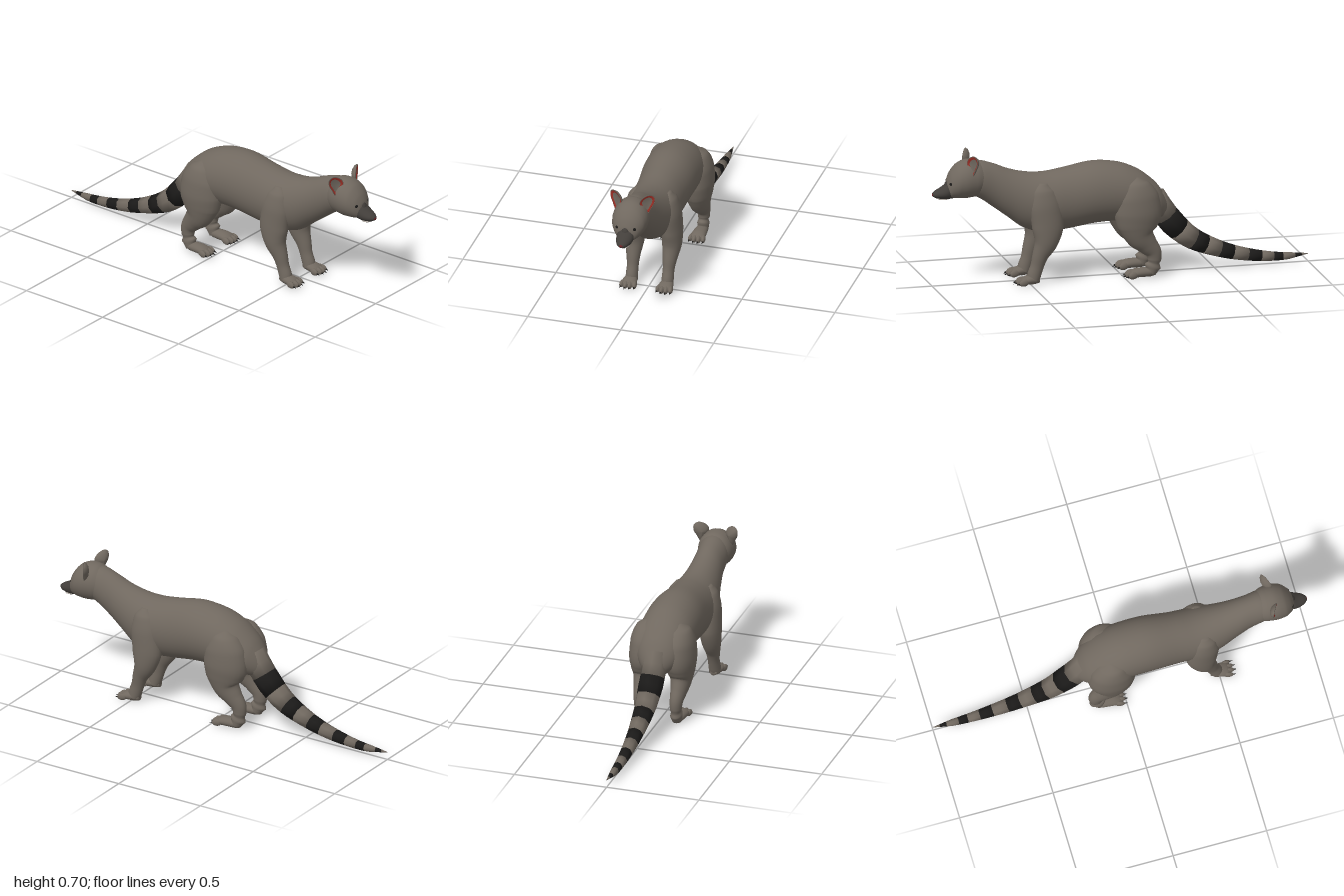
import * as THREE from 'three';

const mat = (color) => new THREE.MeshStandardMaterial({ color, roughness: 0.9 });
const V = (x, y, z) => new THREE.Vector3(x, y, z);

// Closed skin over a list of rings (each ring counter-clockwise about the travel direction)
function skin(rings) {
  const n = rings[0].length, pos = [], idx = [];
  const mid = (r) => r.reduce((a, p) => a.add(p), V(0, 0, 0)).divideScalar(n);
  rings.forEach((r) => r.forEach((p) => pos.push(p.x, p.y, p.z)));
  const last = rings.length - 1, c0 = rings.length * n, c1 = c0 + 1;
  for (const p of [mid(rings[0]), mid(rings[last])]) pos.push(p.x, p.y, p.z);
  for (let j = 0; j < n; j++) {
    const k = (j + 1) % n;
    for (let i = 0; i < last; i++) {
      const a = i * n + j, b = i * n + k;
      idx.push(a, b, a + n, b, b + n, a + n);
    }
    idx.push(c0, k, j, c1, last * n + j, last * n + k);
  }
  const g = new THREE.BufferGeometry();
  g.setAttribute('position', new THREE.Float32BufferAttribute(pos, 3));
  g.setIndex(idx);
  g.computeVertexNormals();
  return g;
}

// Elliptical loft through sections [x, y, z, halfWidth, halfDepth]; "upright" keeps rings facing z
function loft(sections, { sides = 24, steps = 5, upright = false } = {}) {
  const path = new THREE.CatmullRomCurve3(sections.map((s) => V(s[0], s[1], s[2])));
  const size = new THREE.CatmullRomCurve3(sections.map((s) => V(s[3], s[4], 0)));
  const rings = [], total = (sections.length - 1) * steps, X = V(1, 0, 0);
  for (let i = 0; i <= total; i++) {
    const p = path.getPoint(i / total), r = size.getPoint(i / total);
    const T = upright ? V(0, 0, 1) : path.getTangent(i / total);
    const N = T.clone().cross(X).normalize();
    rings.push(Array.from({ length: sides }, (_, j) => {
      const a = (j / sides) * Math.PI * 2;
      return p.clone().addScaledVector(X, Math.max(r.x, 0.001) * Math.cos(a))
        .addScaledVector(N, Math.max(r.y, 0.001) * Math.sin(a));
    }));
  }
  return skin(rings);
}

// Side profile rows [z, top, bottom, halfWidth] to loft sections
const profile = (rows) => rows.map(([z, t, b, w]) => [0, (t + b) / 2, z, w, (t - b) / 2]);

export function createModel() {
  const root = new THREE.Group();
  root.name = 'ringTailedAnimal';
  const fur = mat(0x70685f), black = mat(0x1b1a19), dark = mat(0x433f3b);
  const red = mat(0x9a2f26), nosePink = mat(0x6b2427), pale = mat(0xa8a29a);

  const add = (parent, name, geo, material, p = [0, 0, 0], scale = [1, 1, 1], rot = [0, 0, 0]) => {
    const m = new THREE.Mesh(geo, material);
    m.name = name;
    m.position.set(...p);
    m.scale.set(...scale);
    m.rotation.set(...rot);
    parent.add(m);
    return m;
  };
  const ball = new THREE.SphereGeometry(1, 16, 12);

  // Torso and neck
  add(root, 'body', loft(profile([
    [-0.255, 0.345, 0.325, 0.01], [-0.24, 0.4, 0.29, 0.05], [-0.19, 0.475, 0.28, 0.1],
    [-0.1, 0.55, 0.28, 0.135], [0, 0.593, 0.288, 0.143], [0.14, 0.61, 0.285, 0.142],
    [0.3, 0.585, 0.262, 0.13], [0.42, 0.57, 0.255, 0.13], [0.52, 0.58, 0.285, 0.11],
    [0.6, 0.602, 0.345, 0.092], [0.68, 0.635, 0.405, 0.08], [0.76, 0.655, 0.46, 0.08],
    [0.82, 0.63, 0.49, 0.06],
  ]), { sides: 32, upright: true }), fur);

  // Head, muzzle and nose
  const head = new THREE.Group();
  head.name = 'head';
  root.add(head);
  add(head, 'skull', loft(profile([
    [0.7, 0.58, 0.54, 0.02], [0.72, 0.63, 0.49, 0.066], [0.77, 0.662, 0.466, 0.089],
    [0.82, 0.664, 0.46, 0.094], [0.87, 0.642, 0.462, 0.086], [0.905, 0.6, 0.467, 0.062],
    [0.922, 0.56, 0.475, 0.035], [0.926, 0.53, 0.5, 0.01],
  ]), { sides: 32, upright: true }), fur);
  add(head, 'muzzle', loft(profile([
    [0.885, 0.555, 0.462, 0.038], [0.92, 0.544, 0.46, 0.045], [0.95, 0.524, 0.462, 0.04],
    [0.98, 0.508, 0.468, 0.028], [0.997, 0.495, 0.477, 0.012],
  ]), { upright: true }), dark);
  add(head, 'noseBridge', ball, dark, [0, 0.535, 0.916], [0.021, 0.028, 0.018], [-0.5, 0, 0]);
  add(head, 'nose', ball, nosePink, [0, 0.486, 0.99], [0.015, 0.01, 0.01]);
  add(head, 'lowerLip', ball, pale, [0, 0.462, 0.94], [0.026, 0.005, 0.03]);

  // Ear: cupped shell around a closed outline, rings run from the back over the rim to the inside
  const outline = new THREE.CatmullRomCurve3([
    [0, -0.01], [0.022, 0.025], [0.038, 0.055], [0.038, 0.085], [0.018, 0.1],
    [-0.012, 0.094], [-0.038, 0.072], [-0.043, 0.05], [-0.024, 0.018],
  ].map(([x, y]) => V(x, y, 0)), true).getPoints(28).slice(0, 28);
  const earRings = (s, rows) => skin(rows.map(([r, d]) => {
    const ring = outline.map((p) => V(s * p.x * r, 0.05 + (p.y - 0.05) * r, d));
    return s < 0 ? ring.reverse() : ring;
  }));

  for (const s of [1, -1]) {
    const side = s > 0 ? 'left' : 'right';
    const ear = new THREE.Group();
    ear.name = side + 'Ear';
    ear.position.set(s * 0.085, 0.6, 0.805);
    ear.rotation.y = s * 0.5;
    head.add(ear);
    add(ear, 'earShell', earRings(s, [[0.05, -0.026], [0.5, -0.022], [0.85, -0.012], [1, 0], [0.92, 0.003], [0.88, -0.004]]), fur);
    add(ear, 'innerEar', earRings(s, [[0.93, -0.004], [0.93, 0.002], [0.8, -0.002], [0.5, -0.006], [0.05, -0.008]]), red);
    // Eye in a dark patch
    add(head, side + 'EyePatch', ball, dark, [s * 0.044, 0.547, 0.901], [0.02, 0.017, 0.012], [-0.2, s * 0.6, s * 0.3]);
    add(head, side + 'Eye', ball, black, [s * 0.045, 0.547, 0.907], [0.012, 0.011, 0.009], [0, s * 0.5, 0]);

    // Legs
    const frontLeg = new THREE.Group(), hindLeg = new THREE.Group();
    frontLeg.name = side + 'FrontLeg';
    hindLeg.name = side + 'HindLeg';
    root.add(frontLeg, hindLeg);
    add(frontLeg, 'foreleg', loft([
      [s * 0.082, 0.53, 0.43, 0.015, 0.02], [s * 0.087, 0.49, 0.43, 0.042, 0.06],
      [s * 0.092, 0.4, 0.42, 0.057, 0.085], [s * 0.097, 0.3, 0.41, 0.056, 0.083],
      [s * 0.1, 0.22, 0.42, 0.05, 0.062], [s * 0.098, 0.15, 0.45, 0.037, 0.042],
      [s * 0.096, 0.09, 0.468, 0.03, 0.035], [s * 0.096, 0.05, 0.482, 0.031, 0.036],
      [s * 0.096, 0.02, 0.49, 0.032, 0.032],
    ]), fur);
    add(hindLeg, 'thighAndShank', loft([
      [s * 0.075, 0.53, -0.06, 0.02, 0.02], [s * 0.082, 0.5, -0.06, 0.062, 0.07],
      [s * 0.088, 0.43, -0.065, 0.082, 0.115], [s * 0.092, 0.35, -0.07, 0.084, 0.125],
      [s * 0.097, 0.28, -0.07, 0.071, 0.11], [s * 0.1, 0.225, -0.08, 0.056, 0.078],
      [s * 0.1, 0.175, -0.118, 0.043, 0.055], [s * 0.098, 0.13, -0.152, 0.034, 0.042],
      [s * 0.097, 0.085, -0.156, 0.03, 0.036], [s * 0.097, 0.045, -0.145, 0.03, 0.036],
      [s * 0.097, 0.018, -0.135, 0.028, 0.028],
    ]), fur);

    // Paws: sole, four toes and claws, reaching forward to z = tip
    for (const [leg, heel, tip] of [[frontLeg, 0.455, 0.58], [hindLeg, -0.16, 0.0]]) {
      const cx = s * 0.097;
      add(leg, 'paw', loft([
        [cx, 0.022, heel, 0.016, 0.014], [cx, 0.026, heel + 0.03, 0.031, 0.024],
        [cx, 0.026, tip - 0.065, 0.038, 0.024], [cx, 0.022, tip - 0.035, 0.038, 0.018],
        [cx, 0.018, tip - 0.02, 0.03, 0.01],
      ], { upright: true }), fur);
      for (let i = 0; i < 4; i++) {
        const o = i - 1.5, z = tip - 0.028 - (Math.abs(o) > 1 ? 0.01 : 0);
        const x = cx + o * 0.0215;
        add(leg, 'toe', ball, fur, [x, 0.019, z], [0.0125, 0.0185, 0.028], [0.15, o * 0.12, 0]);
        add(leg, 'claw', new THREE.ConeGeometry(0.006, 0.026, 8), black,
          [x + o * 0.003, 0.014, z + 0.03], [1, 1, 1], [Math.PI / 2 + 0.25, 0, 0]);
      }
    }
  }

  // Tail: low-sided tapering bands, alternating fur and black
  const tail = new THREE.Group();
  tail.name = 'tail';
  root.add(tail);
  const path = new THREE.CatmullRomCurve3([
    [-0.17, 0.41], [-0.22, 0.33], [-0.28, 0.252], [-0.375, 0.168], [-0.53, 0.097],
    [-0.68, 0.057], [-0.85, 0.036], [-1, 0.041],
  ].map(([z, y]) => V(0, y, z)));
  const radius = (z) => z > -0.28 ? 0.066 : z > -0.53 ? 0.066 - (-0.28 - z) * 0.092
    : z > -0.88 ? 0.043 - (-0.53 - z) * 0.065 : 0.02 * (1 + z) / 0.12 + 0.0015;
  const atZ = (z) => { // point on the path at a given z
    let a = 0, b = 1;
    for (let i = 0; i < 30; i++) {
      const m = (a + b) / 2;
      if (path.getPoint(m).z > z) a = m; else b = m;
    }
    return a;
  };
  const edges = [-0.175, -0.245, -0.315, -0.39, -0.455, -0.53, -0.6, -0.68, -0.75, -0.815, -0.865, -0.93, -0.965, -1];
  for (let i = 0; i < edges.length - 1; i++) {
    const rings = [0, 0.5, 1].map((f) => {
      const t = atZ(edges[i] + (edges[i + 1] - edges[i]) * f);
      const p = path.getPoint(t), r = radius(p.z);
      const N = path.getTangent(t).cross(V(1, 0, 0)).normalize();
      return Array.from({ length: 8 }, (_, j) => {
        const a = (j / 8) * Math.PI * 2;
        return p.clone().add(V(r * Math.cos(a), 0, 0)).addScaledVector(N, r * Math.sin(a));
      });
    });
    add(tail, i % 2 ? 'darkBand' : 'furBand', skin(rings), i % 2 ? black : fur);
  }
  return root;
}
